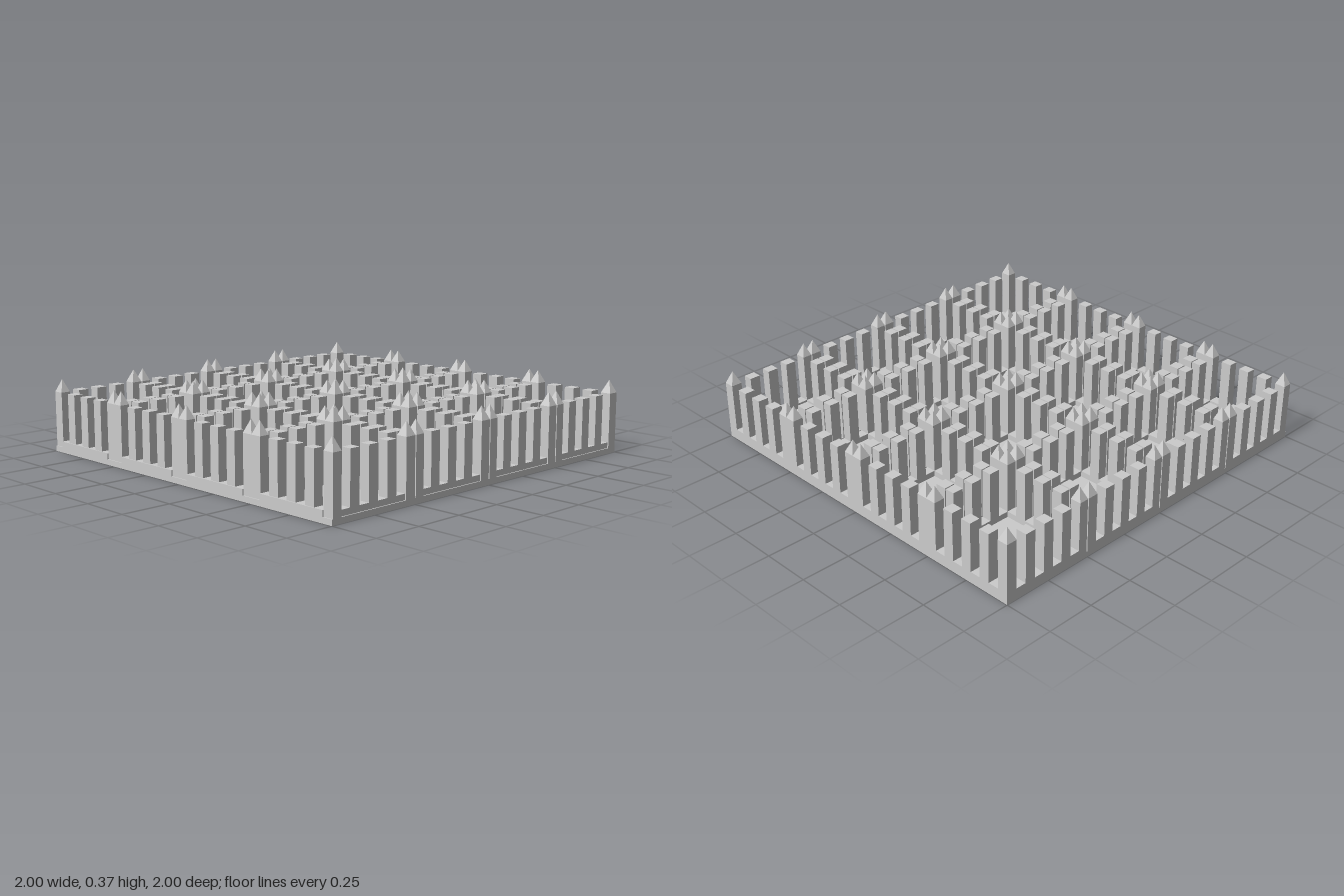
import * as THREE from 'three';

const CELL = 1 / 18;          // one tile is 9 cells wide
const TILE = 9 * CELL;
const FLOOR = 0.028, RAIL = 0.057, TOP = 0.306, PEAK = 0.37;
const INSET = 0.006;          // posts and rails sit slightly inside the +x and +z edges

const material = new THREE.MeshStandardMaterial({ color: 0xcccccc, flatShading: true });

// Box given by its minimum and maximum corners
function block(name, x0, x1, y0, y1, z0, z1) {
  const geometry = new THREE.BoxGeometry(x1 - x0, y1 - y0, z1 - z0);
  const mesh = new THREE.Mesh(geometry, material);
  mesh.name = name;
  mesh.position.set((x0 + x1) / 2, (y0 + y1) / 2, (z0 + z1) / 2);
  return mesh;
}

// Square corner post with a pyramid cap
function cornerPost(x, z, w, d) {
  const post = new THREE.Group();
  post.name = 'cornerPost';
  post.add(block('postShaft', x, x + w, FLOOR, TOP, z, z + d));
  const cone = new THREE.ConeGeometry(Math.SQRT1_2, PEAK - TOP, 4, 1, true).rotateY(Math.PI / 4);
  cone.scale(w, 1, d);
  const cap = new THREE.Mesh(cone, material);
  cap.name = 'postCap';
  cap.position.set(x + w / 2, (TOP + PEAK) / 2, z + d / 2);
  post.add(cap);
  return post;
}

// One fenced square, with its corner at the local origin
function fencedTile() {
  const tile = new THREE.Group();
  tile.name = 'fencedTile';
  tile.add(block('floor', 0, TILE, 0, FLOOR, 0, TILE));
  const far = TILE - CELL;
  for (const s of [0, far]) {
    const t = s > 0 ? CELL - INSET : CELL;

    // Low rails between the corner posts
    tile.add(block('rail', CELL, far, FLOOR, RAIL, s, s > 0 ? TILE : CELL));
    tile.add(block('rail', s, s + t, FLOOR, RAIL, CELL, far));

    // Flat-topped pickets in every second cell
    for (const i of [2, 4, 6]) {
      const p = i * CELL;
      tile.add(block('picket', p, p + CELL, RAIL, TOP, s, s + t));
      tile.add(block('picket', s, s + t, RAIL, TOP, p, p + CELL));
    }

    // Corner posts along this side
    for (const z of [0, far]) {
      tile.add(cornerPost(s, z, CELL, z > 0 ? CELL - INSET : CELL));
    }
  }
  return tile;
}

export function createModel() {
  const model = new THREE.Group();
  model.name = 'fencedGrid';
  const tile = fencedTile();
  for (let i = 0; i < 4; i++) {
    for (let j = 0; j < 4; j++) {
      const copy = tile.clone();
      copy.position.set(-1 + i * TILE, 0, -1 + j * TILE);
      model.add(copy);
    }
  }
  return model;
}
